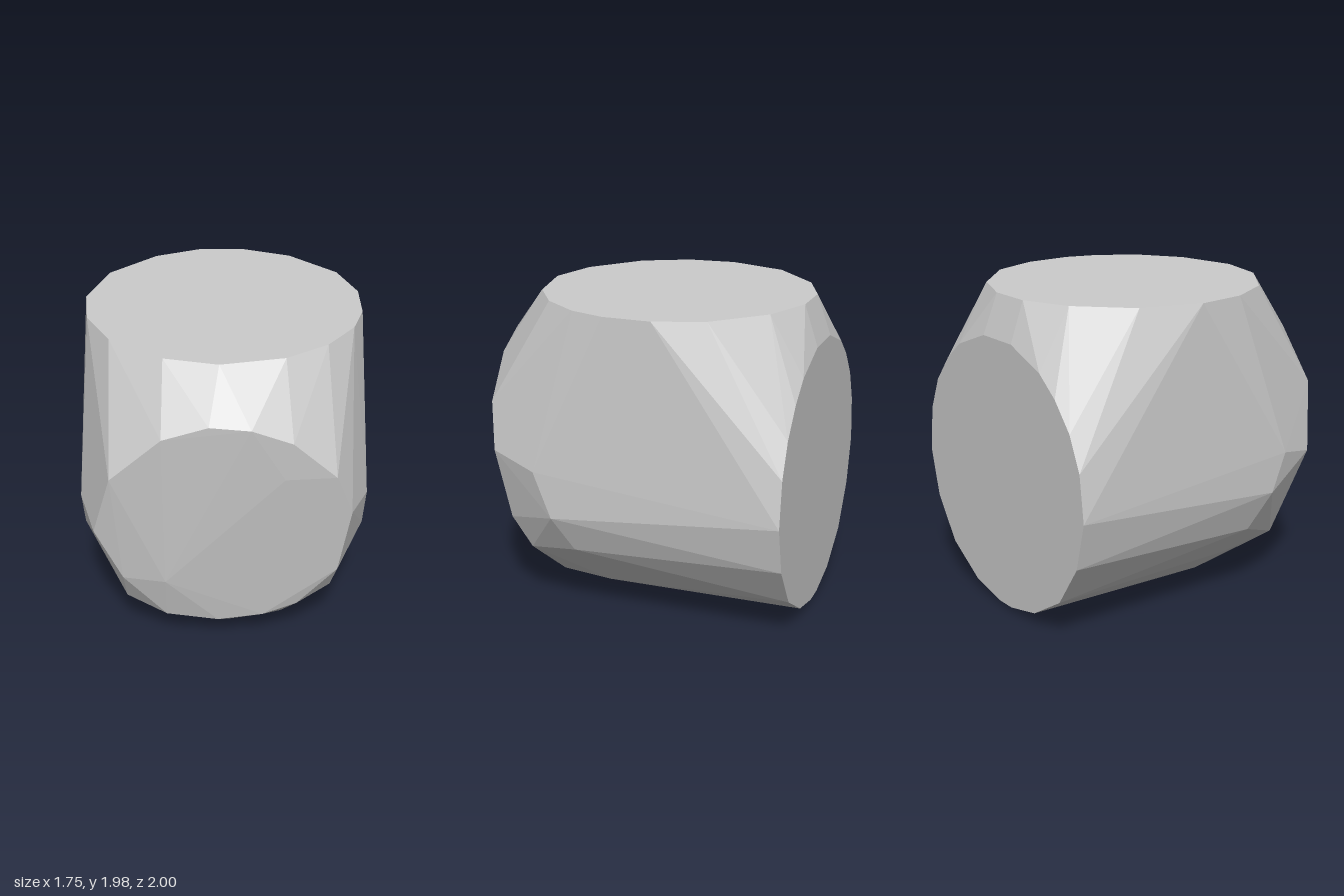
import * as THREE from 'three';
import { ConvexGeometry } from 'three/addons/geometries/ConvexGeometry.js';

const V = (x, y, z) => new THREE.Vector3(x, y, z);

export function createModel() {
  const grey = new THREE.MeshStandardMaterial({ color: 0xcccccc });
  grey.name = 'plainGrey';
  grey.flatShading = true;

  // flat top face: [x, z] at the full height
  const top = [
    [-0.15, -0.91], [0.13, -0.91], [0.44, -0.79], [0.73, -0.51], [0.84, -0.21], [0.84, 0.09],
    [0.77, 0.31], [0.6, 0.54], [0.35, 0.71], [-0.03, 0.79], [-0.35, 0.71], [-0.67, 0.46],
    [-0.82, 0.17], [-0.85, -0.14], [-0.73, -0.51], [-0.44, -0.79],
  ].map(([x, z]) => V(x, 1.98, z));

  // flat back face: half outline [x, y], mirrored
  const back = [
    [0.15, 1.73], [0.44, 1.62], [0.59, 1.5], [0.73, 1.33], [0.82, 1.12],
    [0.855, 0.83], [0.78, 0.53], [0.6, 0.26], [0.33, 0.09], [0.07, 0.03],
  ].flatMap(([x, y]) => [V(x, y, -1), V(-x, y, -1)]);

  // leaning front face, slightly creased
  const front = [
    [-0.09, 1.69, 0.995], [0.15, 1.67, 1], [0.39, 1.57, 0.975], [0.65, 1.32, 0.93],
    [0.755, 1.04, 0.87], [0.69, 0.58, 0.8], [0.45, 0.29, 0.76], [0.24, 0.22, 0.78],
    [-0.04, 0.18, 0.78], [-0.36, 0.22, 0.77], [-0.61, 0.3, 0.68], [-0.62, 0.53, 0.81],
    [-0.785, 0.88, 0.82], [-0.67, 1.3, 0.92], [-0.36, 1.6, 0.98],
    [0.35, 1.32, 0.955], [-0.36, 0.53, 0.86],
  ].map((p) => V(...p));

  // widest band around the belly, and the rounded chin
  const belly = [
    [0.875, 0.98, 0.55], [0.87, 0.69, 0.44], [0.77, 0.46, 0.33], [0.52, 0.17, 0.2],
    [0.21, 0.025, 0.15], [-0.11, 0.005, 0.15], [-0.42, 0.1, 0.2], [-0.63, 0.27, 0.25],
    [-0.77, 0.45, 0.33], [-0.87, 0.7, 0.44], [-0.88, 0.95, 0.53],
    [0.66, 0.38, 0.68], [0.36, 0.11, 0.6], [0.04, 0.06, 0.62], [-0.22, 0.08, 0.61],
  ].map((p) => V(...p));

  const body = new THREE.Mesh(new ConvexGeometry([...top, ...back, ...front, ...belly]), grey);
  body.name = 'facetedBody';

  const group = new THREE.Group();
  group.name = 'facetedBlock';
  group.add(body);
  return group;
}
